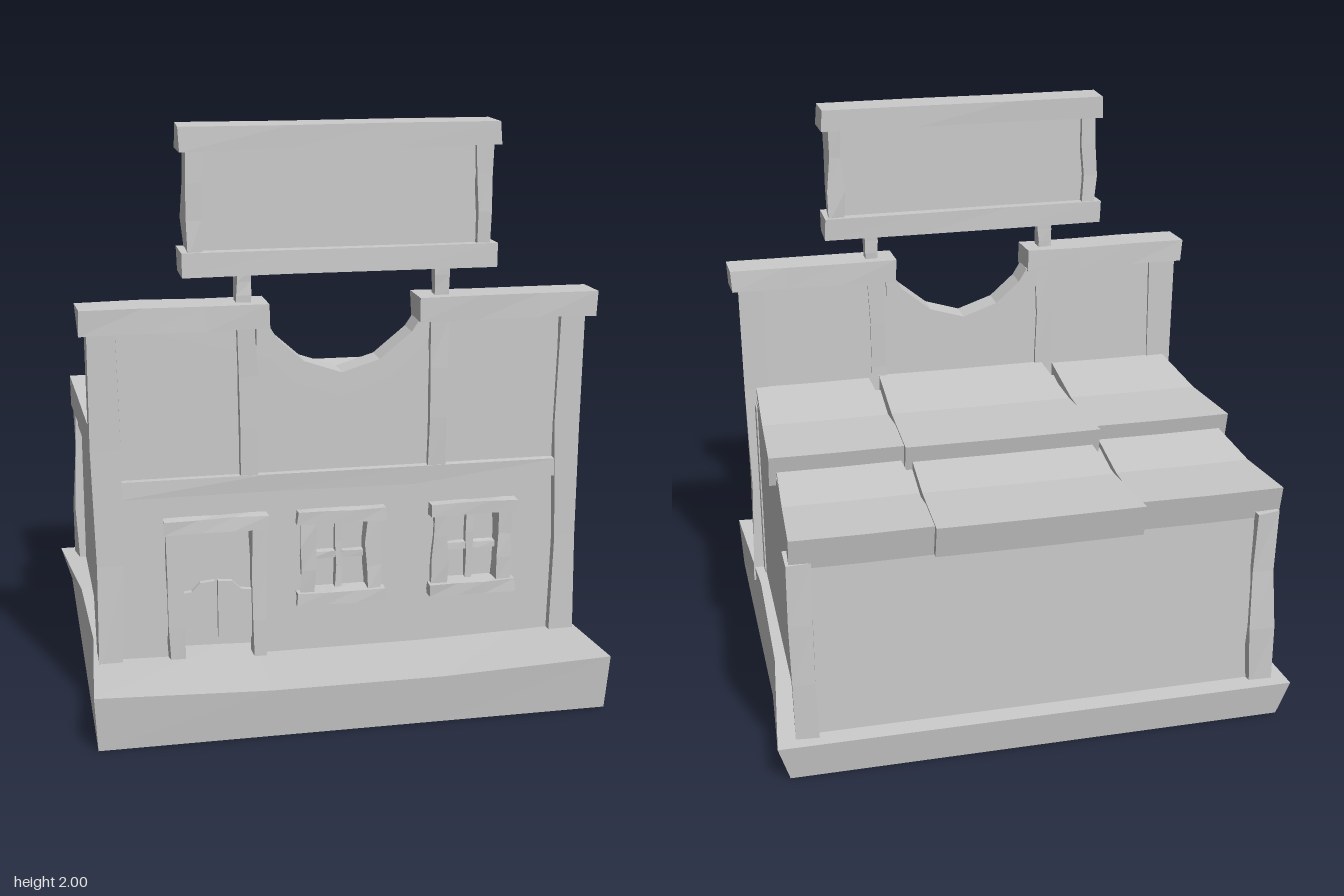
import * as THREE from 'three';

const material = new THREE.MeshStandardMaterial({ color: 0xcccccc, flatShading: true, side: THREE.DoubleSide });

// Repeatable wobble in -1..1 from a position, so shared corners move together
const noise = (x, y, z, k) => {
  const s = Math.sin(x * 41.3 + y * 73.7 + z * 29.1 + k * 17.9) * 4375.85;
  return (s - Math.floor(s)) * 2 - 1;
};

function reshape(geometry, rule) {
  const p = geometry.attributes.position;
  const v = new THREE.Vector3();
  for (let i = 0; i < p.count; i++) {
    rule(v.fromBufferAttribute(p, i));
    p.setXYZ(i, v.x, v.y, v.z);
  }
  const flat = geometry.index ? geometry.toNonIndexed() : geometry;
  flat.computeVertexNormals();
  return flat;
}

function add(parent, name, geometry) {
  const mesh = new THREE.Mesh(geometry, material);
  mesh.name = name;
  parent.add(mesh);
  return mesh;
}

// Hand-hewn board between two corners, bent along its longest side
function board(parent, name, [x0, x1], [y0, y1], [z0, z1], wobble = 0.008) {
  const size = [x1 - x0, y1 - y0, z1 - z0];
  const longest = Math.max(...size);
  const segs = size.map(s => (s === longest ? 3 : 1));
  const g = new THREE.BoxGeometry(...size, ...segs);
  g.translate((x0 + x1) / 2, (y0 + y1) / 2, (z0 + z1) / 2);
  return add(parent, name, reshape(g, v => {
    const { x, y, z } = v.clone();
    v.x += noise(x, y, z, 1) * wobble;
    v.y += noise(x, y, z, 2) * wobble * 0.6;
    v.z += noise(x, y, z, 3) * wobble * 0.6;
  }));
}

function slab(parent, name, points, z0, z1, holes = []) {
  const shape = new THREE.Shape(points.map(p => new THREE.Vector2(...p)));
  for (const [x0, x1, y0, y1] of holes) {
    shape.holes.push(new THREE.Path([[x0, y0], [x0, y1], [x1, y1], [x1, y0]].map(p => new THREE.Vector2(...p))));
  }
  const g = new THREE.ExtrudeGeometry(shape, { depth: z1 - z0, bevelEnabled: false });
  g.translate(0, 0, z0);
  return add(parent, name, g);
}

function subgroup(parent, name) {
  const g = new THREE.Group();
  g.name = name;
  parent.add(g);
  return g;
}

// Flared plinth, lower at the back and open underneath
function buildBase(root) {
  const g = new THREE.BoxGeometry(2, 1, 2, 3, 1, 3);
  const index = Array.from(g.index.array);
  const bottom = g.groups[3];
  index.splice(bottom.start, bottom.count);
  g.setIndex(index);
  g.clearGroups();
  add(root, 'base', reshape(g, v => {
    const top = v.y > 0, edgeX = Math.abs(v.x) > 0.9, back = (1 - v.z) / 2;
    const half = top ? 0.88 - 0.05 * Math.sin(back * Math.PI) + 0.03 * back : 0.87;
    v.y = top ? 0.195 - 0.065 * back - (edgeX ? 0 : 0.022 * (1 - back)) : 0;
    v.x *= half;
    v.z *= top ? 0.815 : 0.795;
  }));
}

// Two overlapping rows of sagging roof sheets
function buildRoof(root) {
  const roof = subgroup(root, 'roof');
  const columns = [[-0.85, -0.33, -0.77, 0], [-0.345, 0.365, -0.825, 0.01], [0.345, 0.84, -0.79, 0.002]];
  for (const [x0, x1, rear, lift] of columns) {
    for (const row of [0, 1]) {
      const zBack = row ? rear : rear + 0.53;
      const zFront = row ? -0.2 : 0.42;
      const yTop = row ? 0.88 : 0.938;
      const mid = (x0 + x1) / 2;
      const g = new THREE.BoxGeometry(1, 1, 1, 2, 1, 2);
      add(roof, 'roofSheet', reshape(g, v => {
        const t = 0.5 - v.z;
        const width = (x1 - x0) - 0.06 * (1 - t);
        const top = v.y > 0;
        v.y = yTop + lift - (top ? 0 : 0.1) - 0.018 * Math.sin(t * Math.PI) + (top ? 0 : -0.015 * t);
        v.z = zFront + (zBack - zFront) * t - (Math.abs(v.x) < 0.1 ? 0.004 : 0) + (top || t < 1 ? 0 : 0.025);
        v.x = mid + v.x * width;
      }));
    }
  }
}

// Four-pane window with lintel, sill and jambs
function buildWindow(root, cx) {
  const w = subgroup(root, 'window');
  board(w, 'windowLintel', [cx - 0.155, cx + 0.155], [0.635, 0.68], [0.45, 0.52], 0.004);
  board(w, 'windowSill', [cx - 0.155, cx + 0.155], [0.34, 0.385], [0.45, 0.52], 0.004);
  for (const s of [-1, 1]) {
    board(w, 'windowJamb', [cx + s * 0.115 - 0.024, cx + s * 0.115 + 0.024], [0.38, 0.64], [0.45, 0.505]);
  }
  board(w, 'verticalBar', [cx - 0.012, cx + 0.012], [0.38, 0.64], [0.44, 0.47], 0.003);
  board(w, 'horizontalBar', [cx - 0.1, cx + 0.1], [0.493, 0.516], [0.44, 0.468], 0.003);
}

// Framed doorway with a pair of swing doors
function buildDoorway(root) {
  const d = subgroup(root, 'doorway');
  board(d, 'doorLintel', [-0.61, -0.255], [0.63, 0.68], [0.45, 0.525], 0.004);
  board(d, 'doorJamb', [-0.6, -0.552], [0.13, 0.635], [0.44, 0.51]);
  board(d, 'doorJamb', [-0.31, -0.262], [0.13, 0.635], [0.44, 0.51]);
  for (const s of [-1, 1]) {
    const at = (dx, y) => [-0.43 + s * dx, y];
    slab(d, 'swingDoor', [at(0.005, 0.225), at(0.125, 0.22), at(0.125, 0.395),
      at(0.085, 0.4), at(0.055, 0.43), at(0.005, 0.435)], 0.445, 0.465);
  }
}

// Tall front wall with a scooped top, posts and trim
function buildFacade(root) {
  const f = subgroup(root, 'facade');
  const scoop = [[-0.27, 1.34], [-0.24, 1.29], [-0.14, 1.2], [0, 1.155], [0.14, 1.2], [0.25, 1.29], [0.29, 1.34]];
  slab(f, 'frontWall', [[-0.82, 0.12], [0.82, 0.12], [0.82, 1.37], [0.29, 1.37], ...scoop.slice().reverse(),
    [-0.27, 1.37], [-0.82, 1.37]], 0.42, 0.48,
  [[-0.56, -0.305, 0.15, 0.635], [-0.105, 0.1, 0.375, 0.645], [0.365, 0.57, 0.375, 0.645]]);
  slab(f, 'scoopTrim', [[-0.25, 1.34], [-0.22, 1.29], [-0.13, 1.21], [0, 1.165], [0.13, 1.205], [0.24, 1.295], [0.27, 1.34],
    [0.3, 1.34], [0.3, 1.27], [0.16, 1.14], [0, 1.083], [-0.16, 1.14], [-0.29, 1.27], [-0.29, 1.34]], 0.408, 0.508);
  board(f, 'cornerPost', [-0.845, -0.755], [0.12, 1.35], [0.41, 0.512], 0.01);
  board(f, 'cornerPost', [0.765, 0.853], [0.12, 1.35], [0.41, 0.512], 0.01);
  board(f, 'upperPost', [-0.35, -0.29], [0.81, 1.34], [0.412, 0.508]);
  board(f, 'upperPost', [0.31, 0.368], [0.81, 1.34], [0.412, 0.508]);
  board(f, 'crossBeam', [-0.765, 0.775], [0.757, 0.82], [0.45, 0.505], 0.005);
  board(f, 'topCap', [-0.875, -0.25], [1.33, 1.415], [0.398, 0.53], 0.005);
  board(f, 'topCap', [0.262, 0.885], [1.33, 1.415], [0.398, 0.53], 0.005);
  buildDoorway(f);
  buildWindow(f, 0);
  buildWindow(f, 0.47);
}

// Blank board raised on two short struts
function buildSign(root) {
  const s = subgroup(root, 'signBoard');
  board(s, 'signPanel', [-0.49, 0.48], [1.55, 1.96], [0.435, 0.495], 0.003);
  board(s, 'signTopRail', [-0.538, 0.527], [1.917, 1.997], [0.395, 0.535], 0.004);
  board(s, 'signBottomRail', [-0.538, 0.527], [1.51, 1.592], [0.395, 0.535], 0.004);
  board(s, 'signSidePost', [-0.52, -0.467], [1.57, 1.94], [0.41, 0.52]);
  board(s, 'signSidePost', [0.452, 0.507], [1.57, 1.94], [0.41, 0.52]);
  board(s, 'signStrut', [-0.353, -0.303], [1.39, 1.53], [0.44, 0.49], 0.004);
  board(s, 'signStrut', [0.323, 0.371], [1.39, 1.53], [0.44, 0.49], 0.004);
}

export function createModel() {
  const root = new THREE.Group();
  root.name = 'frontierBuilding';
  buildBase(root);

  // Main body, its top falling with the roof
  const body = new THREE.BoxGeometry(1.63, 1, 1.13);
  add(root, 'body', reshape(body, v => {
    const back = v.z < 0;
    v.y = v.y > 0 ? (back ? 0.82 : 0.9) : 0.12;
    v.z = back ? -0.745 : 0.385;
  }));
  // Side walls run on to meet the front wall
  for (const s of [-1, 1]) {
    board(root, 'sideWall', s < 0 ? [-0.82, -0.79] : [0.79, 0.82], [0.12, 0.88], [0.36, 0.43], 0);
    board(root, 'rearPost', s < 0 ? [-0.845, -0.765] : [0.765, 0.845], [0.11, 0.79], [-0.772, -0.682], 0.01);
  }

  buildRoof(root);
  buildFacade(root);
  buildSign(root);
  return root;
}
